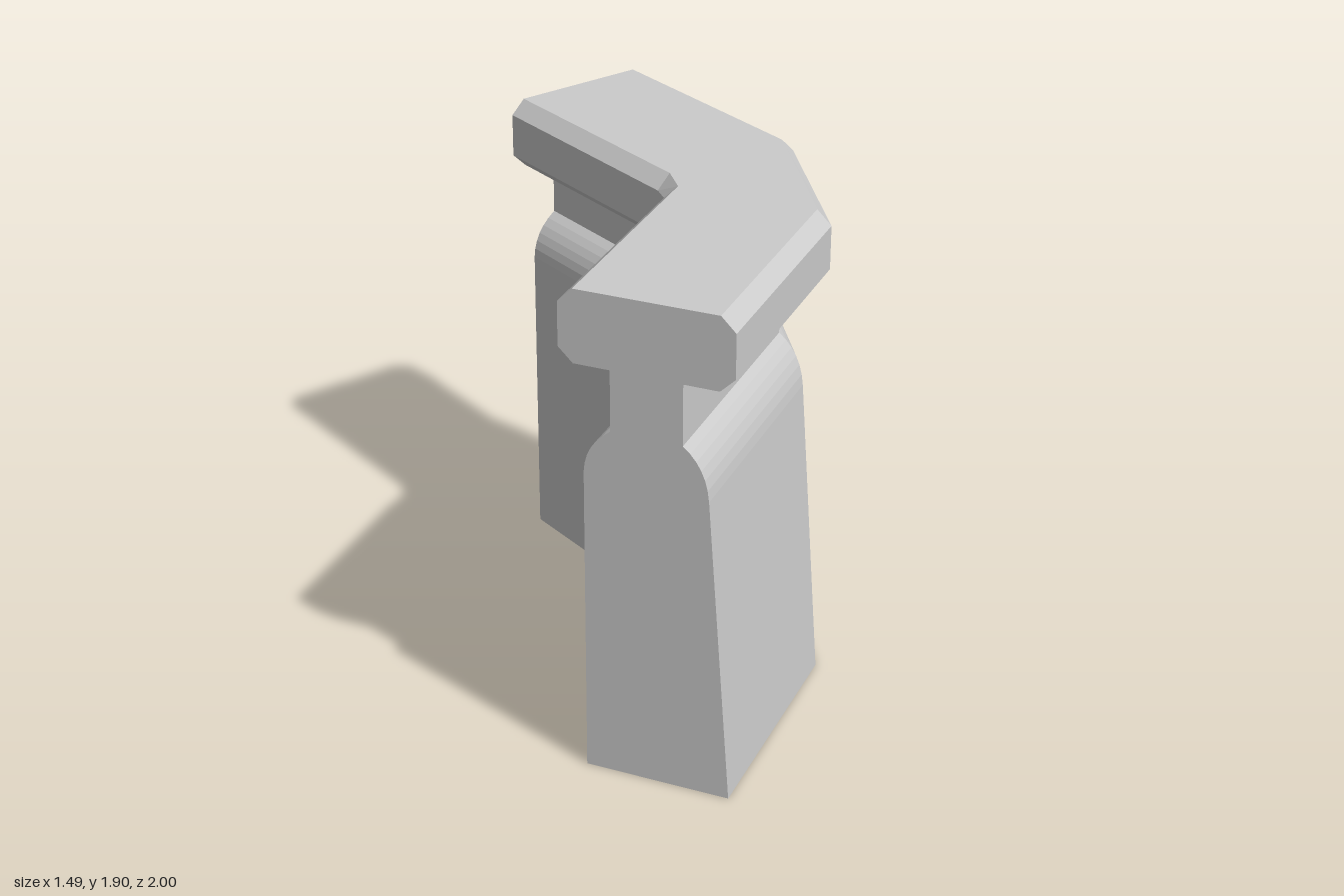
import * as THREE from 'three';

// Cross-section stations along the bend: centre of the outer edge (x, z) and direction across the wall.
const OUTER = 0.74;
const BEND = Math.PI / 3;
const STATIONS = [
  { x: OUTER, z: 1, angle: 0 },
  { x: OUTER, z: 0.07, angle: 0 },
  { x: 0.374, z: -0.537, angle: BEND },
  { x: -0.43, z: -1, angle: BEND },
];

// Places a profile point (across, up) at a station.
function place(station, p) {
  const d = p.x - OUTER;
  return [station.x + d * Math.cos(station.angle), p.y, station.z - d * Math.sin(station.angle)];
}

// Sweeps a counter-clockwise profile through the stations and closes both ends.
// The edge from last point to first is left open where two parts join.
function sweep(profile) {
  const pos = [];
  for (let s = 0; s < STATIONS.length - 1; s++) {
    for (let i = 0; i < profile.length - 1; i++) {
      const a = place(STATIONS[s], profile[i]);
      const b = place(STATIONS[s], profile[i + 1]);
      const c = place(STATIONS[s + 1], profile[i + 1]);
      const d = place(STATIONS[s + 1], profile[i]);
      pos.push(...a, ...c, ...b, ...a, ...d, ...c);
    }
  }
  const first = STATIONS[0], last = STATIONS[STATIONS.length - 1];
  for (const [i, j, k] of THREE.ShapeUtils.triangulateShape(profile, [])) {
    pos.push(...[i, j, k].flatMap((n) => place(first, profile[n])));
    pos.push(...[k, j, i].flatMap((n) => place(last, profile[n])));
  }
  const geometry = new THREE.BufferGeometry();
  geometry.setAttribute('position', new THREE.Float32BufferAttribute(pos, 3));
  geometry.computeVertexNormals();
  return geometry;
}

const v = (x, y) => new THREE.Vector2(x, y);

// Rounded shoulder between the neck and the wall face.
const shoulder = (from, control, to) => new THREE.QuadraticBezierCurve(from, control, to).getPoints(6);

export function createModel() {
  const group = new THREE.Group();
  group.name = 'curvedParapetWall';
  const material = new THREE.MeshStandardMaterial({ color: 0xcccccc, flatShading: true });

  // Wall: upright inner face, sloping outer face, narrow neck on top
  const wallProfile = [
    v(0.29, 1.628),
    ...shoulder(v(0.29, 1.395), v(0.195, 1.33), v(0.19, 1.22)),
    v(0.19, 0),
    v(0.74, 0),
    ...shoulder(v(0.652, 1.2), v(0.642, 1.33), v(0.555, 1.395)),
    v(0.555, 1.628),
  ];

  // Coping: wide slab with chamfered edges
  const copingProfile = [
    v(0.555, 1.628), v(0.685, 1.628), v(0.74, 1.682), v(0.74, 1.85), v(0.685, 1.905),
    v(0.155, 1.905), v(0.1, 1.85), v(0.1, 1.682), v(0.155, 1.628), v(0.29, 1.628),
  ];

  for (const [name, profile] of [['wall', wallProfile], ['coping', copingProfile]]) {
    const mesh = new THREE.Mesh(sweep(profile), material);
    mesh.name = name;
    group.add(mesh);
  }
  return group;
}
